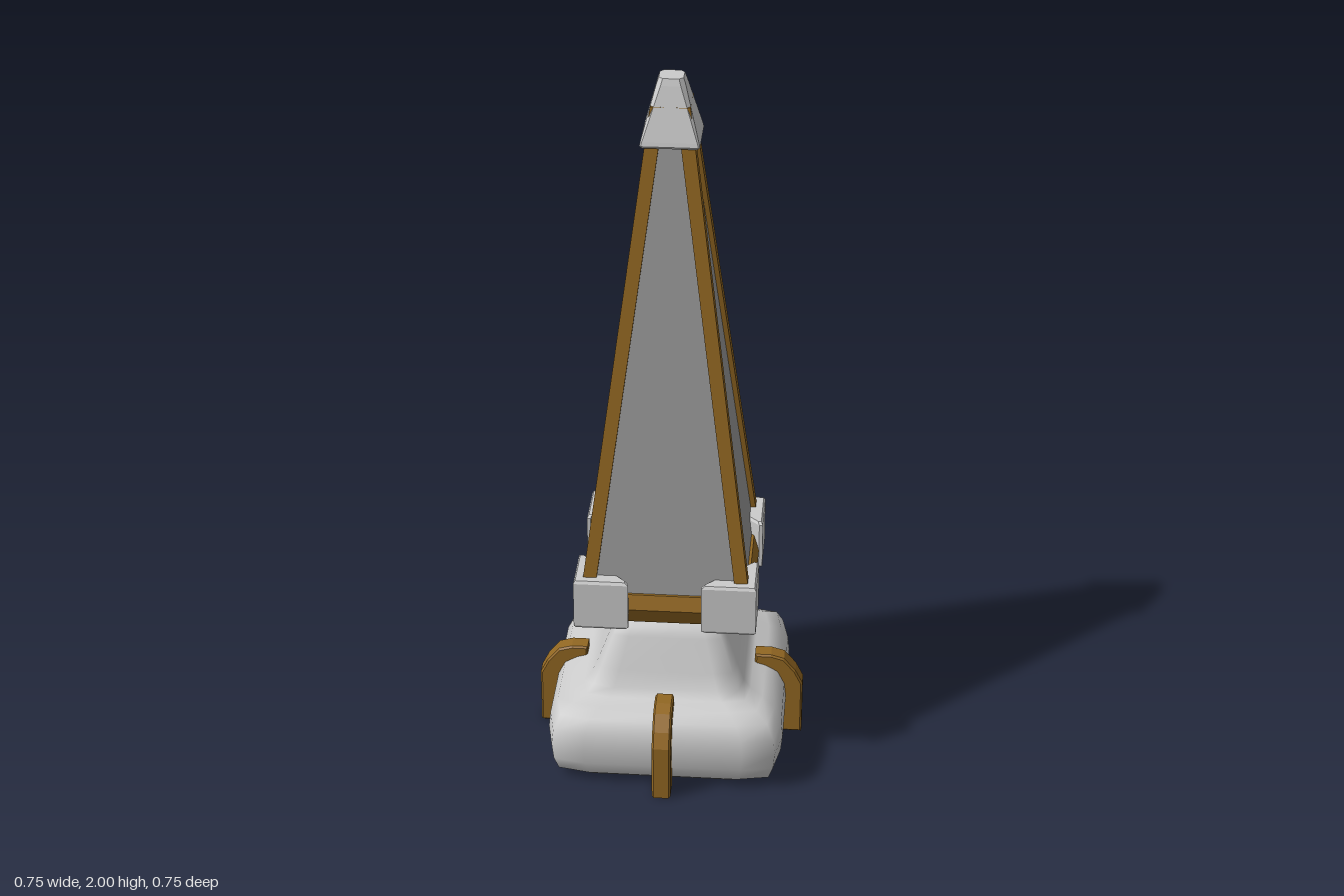
import * as THREE from 'three';

const grey = new THREE.MeshStandardMaterial({ color: 0xcccccc });
const slate = new THREE.MeshStandardMaterial({ color: 0x999999 });
const bronze = new THREE.MeshStandardMaterial({ color: 0x926722 });

// Closed solid through stacked rings of [x, y, z] points, lowest ring first.
function loft(rings, smooth = false) {
  const n = rings[0].length;
  const pos = rings.flat(2);
  const index = [];
  for (let i = 0; i < rings.length - 1; i++) {
    for (let j = 0; j < n; j++) {
      const a = i * n + j, b = i * n + (j + 1) % n;
      index.push(a, a + n, b, b, a + n, b + n);
    }
  }
  // End caps have their own vertices so their rims stay sharp.
  for (const [ring, up] of [[rings[0], false], [rings[rings.length - 1], true]]) {
    const s = pos.length / 3;
    pos.push(...ring.flat());
    for (let j = 1; j < n - 1; j++) {
      if (up) index.push(s, s + j + 1, s + j);
      else index.push(s, s + j, s + j + 1);
    }
  }
  let g = new THREE.BufferGeometry();
  g.setAttribute('position', new THREE.Float32BufferAttribute(pos, 3));
  g.setIndex(index);
  if (!smooth) g = g.toNonIndexed();
  g.computeVertexNormals();
  return g;
}

// Ring of a quarter outline repeated around the y axis.
function ring(y, quarter) {
  const out = [];
  for (let k = 0; k < 4; k++) {
    for (let [x, z] of quarter) {
      for (let r = 0; r < k; r++) [x, z] = [-z, x];
      out.push([x, y, z]);
    }
  }
  return out;
}
const square = (h, y) => ring(y, [[h, h]]);
const chamfered = (h, y, c) => ring(y, [[h, h - c], [h - c, h]]);
const rounded = (h, y) => ring(y, [[h, 0.67 * h], [0.945 * h, 0.945 * h], [0.67 * h, h]]);

export function createModel() {
  const model = new THREE.Group();
  const add = (name, geometry, material, turn = 0) => {
    const m = new THREE.Mesh(geometry, material);
    m.name = name;
    m.rotation.y = turn * Math.PI / 2;
    model.add(m);
  };

  // Smooth cushion-shaped base with a narrowing neck
  const baseProfile = [
    [0.29, 0.012], [0.312, 0.03], [0.325, 0.07], [0.33, 0.12], [0.325, 0.165],
    [0.305, 0.205], [0.27, 0.225], [0.235, 0.235], [0.215, 0.255], [0.195, 0.3],
    [0.16, 0.39], [0.148, 0.415], [0.125, 0.432], [0.1, 0.437],
  ];
  add('base', loft(baseProfile.map(([h, y]) => rounded(h, y)), true), grey);

  // Flared collar with a square frame under the spire
  const collar = [[0.11, 0.425], [0.16, 0.47], [0.205, 0.471], [0.24, 0.53], [0.225, 0.57]];
  add('collar', loft(collar.map(([h, y]) => square(h, y))), bronze);

  // Tapering spire panels
  add('spire', loft([square(0.218, 0.565), square(0.05, 1.85)]), slate);

  // Tip cap
  const cap = [[0.074, 1.825, 0.004], [0.078, 1.831, 0.004], [0.0755, 1.842, 0.004],
    [0.038, 1.982, 0.012], [0.032, 2.0, 0.011]];
  add('tipCap', loft(cap.map(([h, y, c]) => chamfered(h, y, c))), grey);

  // Corner rib following the spire edge
  const ribRing = y => {
    const c = 0.225 - 0.132 * (y - 0.62), d = c - 0.037;
    return [[c, y, d], [c, y, c], [d, y, c], [d, y, d]];
  };
  const rib = loft([ribRing(0.54), ribRing(1.93)]);

  // Corner block wrapping the foot of each rib
  const clawRing = ([y, s]) =>
    [[0.25, 0.1], [0.25, 0.25], [0.1, 0.25], [0.1, 0.24], [0.24, 0.1]]
      .map(([x, z]) => [0.2 + (x - 0.2) * s, y, 0.2 + (z - 0.2) * s]);
  const claw = loft([[0.47, 0.9], [0.478, 1], [0.612, 1], [0.62, 0.9]].map(clawRing));

  // Curved bracket gripping each side of the base
  const outline = new THREE.Shape();
  outline.moveTo(0.315, 0.006);
  outline.lineTo(0.372, 0.006);
  outline.lineTo(0.372, 0.165);
  outline.lineTo(0.352, 0.205);
  outline.lineTo(0.32, 0.243);
  outline.lineTo(0.285, 0.253);
  outline.lineTo(0.245, 0.253);
  outline.lineTo(0.245, 0.215);
  outline.lineTo(0.285, 0.2);
  outline.lineTo(0.315, 0.15);
  outline.closePath();
  const bracket = new THREE.ExtrudeGeometry(outline, {
    depth: 0.042, bevelEnabled: true, bevelSize: 0.005, bevelThickness: 0.005, bevelSegments: 1,
  });
  bracket.translate(0, 0, -0.021);

  for (let k = 0; k < 4; k++) {
    add('cornerRib', rib, bronze, k);
    add('cornerClaw', claw, grey, k);
    add('baseBracket', bracket, bronze, k);
  }
  return model;
}
